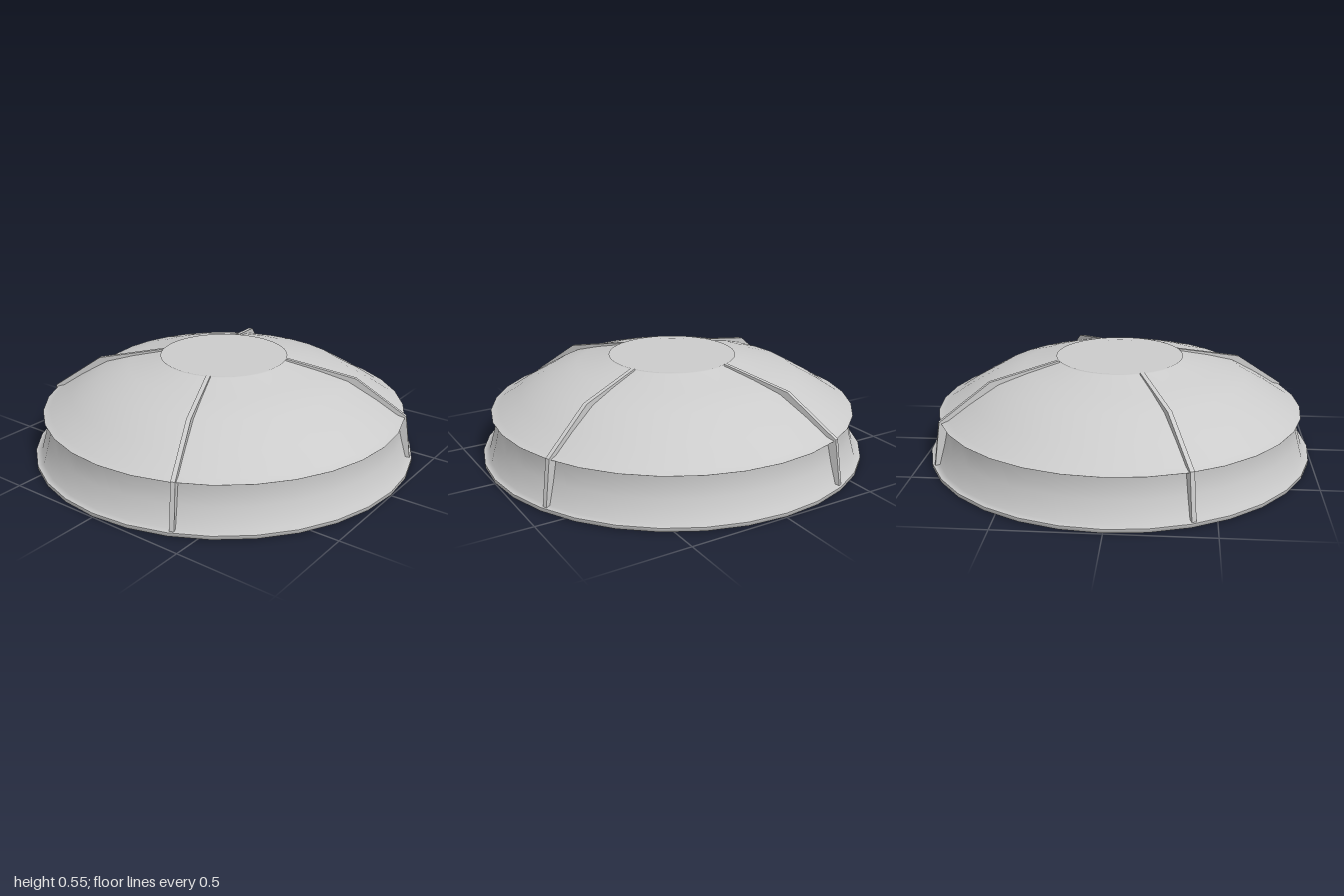
import * as THREE from 'three';

const SIDES = 32;
const material = new THREE.MeshStandardMaterial({ color: 0xcccccc, side: THREE.DoubleSide });

// Revolved part from [radius, height] points, outer surfaces listed bottom to top
function revolve(name, points, sides = SIDES) {
  const profile = points.map(([r, y]) => new THREE.Vector2(r, y));
  const mesh = new THREE.Mesh(new THREE.LatheGeometry(profile, sides), material);
  mesh.name = name;
  return mesh;
}

export function createModel() {
  const group = new THREE.Group();
  group.name = 'ribbedDome';

  // Base flange edge, then the recessed wall flowing into the underside of the rim
  group.add(revolve('flangeEdge', [[0.985, 0], [1, 0.004], [1, 0.022]]));
  group.add(revolve('wall', [
    [1, 0.022], [0.968, 0.026], [0.938, 0.13], [0.912, 0.24], [0.947, 0.242],
  ]));

  // Roof with its thin projecting rim, turned up to meet the cap
  group.add(revolve('roof', [
    [0.947, 0.243], [0.91, 0.255], [0.8, 0.328], [0.65, 0.415], [0.5, 0.459], [0.328, 0.5], [0.326, 0.507],
  ]));

  // Shallow cap in the middle, shaded as one flat surface
  const cap = revolve('cap', [[0.33, 0.507], [0.2, 0.53], [0.1, 0.541], [0, 0.545]], 64);
  const normals = cap.geometry.attributes.normal;
  for (let i = 0; i < normals.count; i++) normals.setXYZ(i, 0, 1, 0);
  group.add(cap);

  // Smooth inner shell following the wall and roof, with a lip onto the flange
  group.add(revolve('innerBowl', [
    [0, 0.52], [0.33, 0.488], [0.65, 0.396], [0.895, 0.23], [0.965, 0], [0.985, 0],
  ]));

  // Four radial ribs running over the roof and down the wall
  const width = 0.022;
  const outline = [
    [0.325, 0.493], [0.33, 0.509], [0.69, 0.432], [0.955, 0.25],
    [0.99, 0.015], [0.965, 0.015], [0.906, 0.24], [0.65, 0.405],
  ].map(([r, y]) => new THREE.Vector2(r, y));
  const ribGeometry = new THREE.ExtrudeGeometry(new THREE.Shape(outline), { depth: width, bevelEnabled: false });
  ribGeometry.translate(0, 0, -width / 2);
  for (let i = 0; i < 4; i++) {
    const rib = new THREE.Mesh(ribGeometry, material);
    rib.name = 'rib' + (i + 1);
    rib.rotation.y = THREE.MathUtils.degToRad(23.5) + (i * Math.PI) / 2;
    group.add(rib);
  }
  return group;
}
